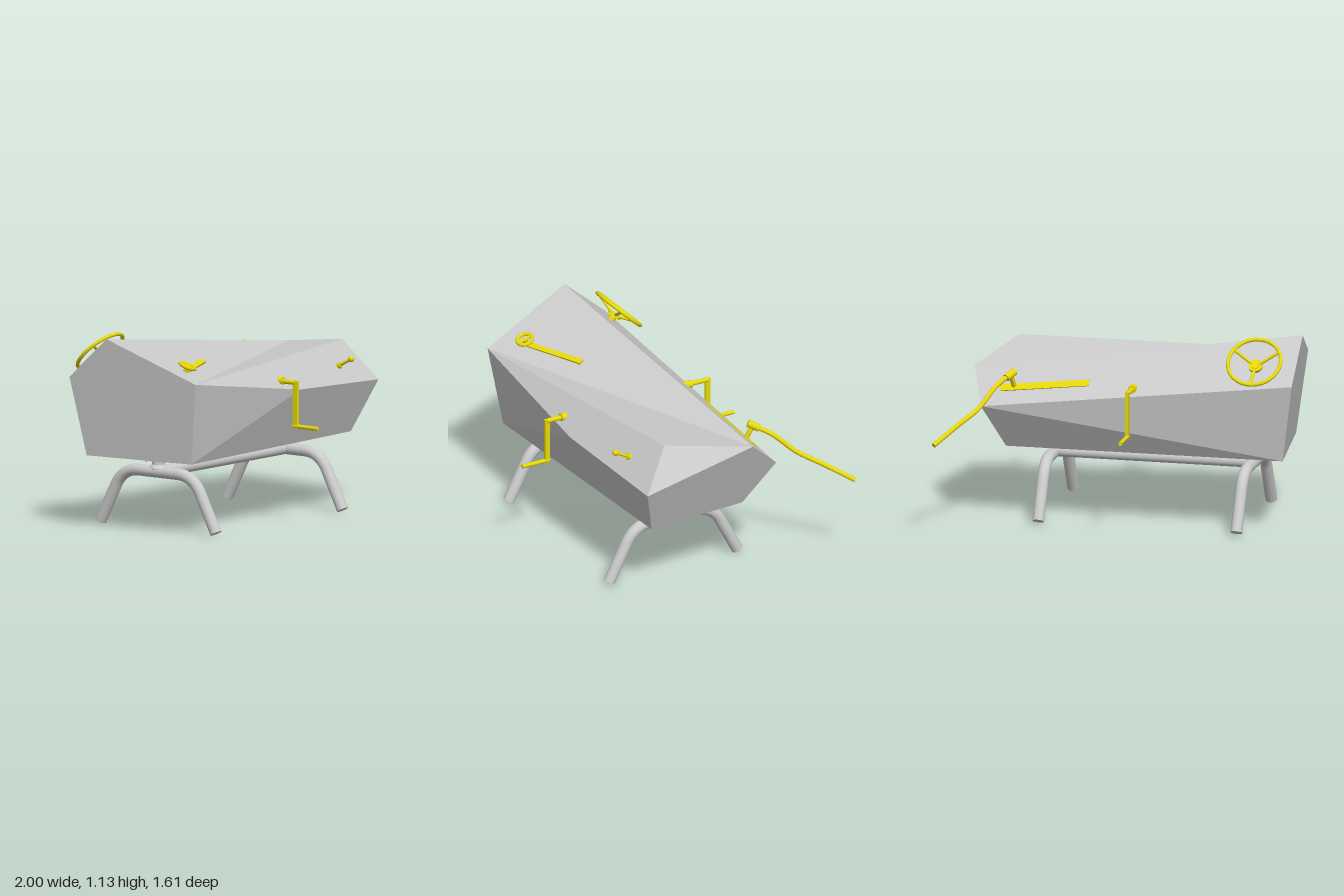
import * as THREE from 'three';

const grey = new THREE.MeshStandardMaterial({ color: 0xcccccc });
const greyFlat = new THREE.MeshStandardMaterial({ color: 0xcccccc, flatShading: true });
const yellow = new THREE.MeshStandardMaterial({ color: 0xe6d80a });
const V = (x, y, z) => new THREE.Vector3(x, y, z);
const UP = V(0, 1, 0);

function add(parent, name, geometry, material, pos) {
  const mesh = new THREE.Mesh(geometry, material);
  mesh.name = name;
  if (pos) mesh.position.copy(pos);
  parent.add(mesh);
  return mesh;
}

function addGroup(parent, name) {
  const g = new THREE.Group();
  g.name = name;
  parent.add(g);
  return g;
}

// Round bar between two points
function rod(parent, name, a, b, r, material = yellow) {
  const d = b.clone().sub(a);
  const mesh = add(parent, name, new THREE.CylinderGeometry(r, r, d.length(), 20), material,
    a.clone().add(b).multiplyScalar(0.5));
  mesh.quaternion.setFromUnitVectors(UP, d.normalize());
  return mesh;
}

// Flat bar between two points, lying on a face with the given normal
function strip(parent, name, a, b, width, thick, normal) {
  const along = b.clone().sub(a);
  const length = along.length();
  along.normalize();
  const side = along.clone().cross(normal).normalize();
  const up = side.clone().cross(along);
  const mesh = add(parent, name, new THREE.BoxGeometry(length, thick, width), yellow,
    a.clone().add(b).multiplyScalar(0.5));
  mesh.quaternion.setFromRotationMatrix(new THREE.Matrix4().makeBasis(along, up, side));
}

// Faceted body from corner points; each face is fanned and turned outward
function bodyGeometry() {
  const p = {
    ridgeR: V(-1, 1.13, -0.05), ridgeL: V(0.895, 0.885, -0.22),
    frontR: V(-0.893, 0.905, 0.517), topL: V(0.755, 0.957, 0.285),
    frontL: V(0.87, 0.725, 0.46), frontMid: V(0.075, 0.765, 0.52),
    backR: V(-1, 0.888, -0.32), backL: V(0.81, 0.695, -0.42),
    footFR: V(-0.84, 0.43, 0.445), footFL: V(0.74, 0.43, 0.36),
    footBR: V(-0.93, 0.43, -0.25), footBL: V(0.7, 0.43, -0.26),
  };
  const faces = [
    'ridgeR frontR ridgeL', 'frontR topL ridgeL',
    'frontR frontMid topL', 'frontMid frontL topL',
    'frontR footFR frontMid', 'frontMid footFR footFL frontL',
    'topL frontL ridgeL', 'ridgeL frontL footFL footBL backL',
    'ridgeR ridgeL backL backR',
    'backR backL footBR', 'footBR backL footBL',
    'ridgeR backR footBR footFR frontR',
    'footFR footBR footBL footFL',
  ];
  const centre = V(-0.1, 0.7, 0.02);
  const points = [];
  for (const face of faces) {
    const c = face.split(' ').map((k) => p[k]);
    for (let i = 1; i < c.length - 1; i++) {
      const t = [c[0], c[i], c[i + 1]];
      const n = t[1].clone().sub(t[0]).cross(t[2].clone().sub(t[0]));
      if (n.dot(t[0].clone().sub(centre)) < 0) t.reverse();
      points.push(...t);
    }
  }
  const g = new THREE.BufferGeometry().setFromPoints(points);
  g.computeVertexNormals();
  return g;
}

// Bent tube leg pair with its bolted mount, at one x position
function legFrame(parent, x) {
  const g = addGroup(parent, 'legFrame');
  g.position.set(x, 0, 0.077);
  const path = new THREE.CurvePath();
  const foot = (s) => V(0, 0.017, 0.421 * s);
  const knee = (s) => V(0, 0.235, 0.308 * s);
  const corner = (s) => V(0, 0.335, 0.257 * s);
  const shoulder = (s) => V(0, 0.335, 0.14 * s);
  path.add(new THREE.LineCurve3(foot(1), knee(1)));
  path.add(new THREE.QuadraticBezierCurve3(knee(1), corner(1), shoulder(1)));
  path.add(new THREE.LineCurve3(shoulder(1), shoulder(-1)));
  path.add(new THREE.QuadraticBezierCurve3(shoulder(-1), corner(-1), knee(-1)));
  path.add(new THREE.LineCurve3(knee(-1), foot(-1)));
  add(g, 'legTube', new THREE.TubeGeometry(path, 80, 0.034, 24), grey);
  for (const s of [1, -1]) {
    const d = foot(s).sub(knee(s)).normalize();
    const cap = add(g, 'footCap', new THREE.CircleGeometry(0.034, 24), grey, foot(s));
    cap.quaternion.setFromUnitVectors(V(0, 0, 1), d);
  }
  // Mount: collar, post, two plates and bolts
  add(g, 'mountCollar', new THREE.CylinderGeometry(0.04, 0.055, 0.02, 24), grey, V(0, 0.37, 0));
  add(g, 'mountPost', new THREE.CylinderGeometry(0.037, 0.037, 0.08, 24), grey, V(0, 0.39, 0));
  for (const y of [0.403, 0.422])
    add(g, 'mountPlate', new THREE.BoxGeometry(0.09, 0.008, 0.16), greyFlat, V(0, y, 0));
  for (const sx of [1, -1]) for (const sz of [1, -1])
    rod(g, 'mountBolt', V(0.032 * sx, 0.39, 0.062 * sz), V(0.032 * sx, 0.432, 0.062 * sz), 0.009, grey);
}

// Hand crank on one side (dir +1 front, -1 back)
function crank(parent, name, hubZ, armZ, endZ, dir) {
  const g = addGroup(parent, name);
  const x = -0.065;
  rod(g, 'crankHub', V(x, 0.828, hubZ - 0.05 * dir), V(x, 0.828, hubZ + 0.015 * dir), 0.023);
  rod(g, 'crankAxle', V(x, 0.828, hubZ), V(x, 0.828, armZ), 0.014);
  add(g, 'crankArm', new THREE.BoxGeometry(0.017, 0.275, 0.032), yellow, V(x, 0.7, armZ));
  rod(g, 'crankHandle', V(x, 0.575, armZ - 0.016 * dir), V(x, 0.575, endZ), 0.012);
}

export function createModel() {
  const model = new THREE.Group();
  model.name = 'crankMachine';
  add(model, 'body', bodyGeometry(), greyFlat);

  // Stand
  const stand = addGroup(model, 'stand');
  for (const x of [-0.68, 0.49]) legFrame(stand, x);
  rod(stand, 'crossBar', V(-0.68, 0.335, 0.077), V(0.49, 0.335, 0.077), 0.034, grey);

  crank(model, 'frontCrank', 0.49, 0.594, 0.757, 1);
  crank(model, 'backCrank', -0.34, -0.463, -0.635, -1);

  // Steering wheel, local y along its axis
  const wheel = addGroup(model, 'steeringWheel');
  wheel.position.set(-0.77, 1.013, -0.278);
  wheel.quaternion.setFromUnitVectors(UP, V(0, 0.719, -0.695).normalize());
  add(wheel, 'wheelRim', new THREE.TorusGeometry(0.154, 0.011, 12, 48), yellow).rotation.x = Math.PI / 2;
  for (let i = 0; i < 3; i++) {
    const a = -Math.PI / 2 + (i * Math.PI * 2) / 3;
    const at = (r, y) => V(Math.cos(a) * r, y, Math.sin(a) * r);
    rod(wheel, 'wheelSpoke', at(0.02, -0.04), at(0.154, 0), 0.009);
  }
  rod(wheel, 'wheelHub', V(0, -0.052, 0), V(0, -0.035, 0), 0.04);
  rod(wheel, 'wheelPost', V(0, -0.12, 0), V(0, -0.03, 0), 0.022);

  // Small ring knob with its slot on the top face
  const topNormal = V(0.151, 0.928, 0.341).normalize();
  const knob = addGroup(model, 'ringKnob');
  knob.position.set(-0.755, 0.983, 0.35);
  knob.quaternion.setFromUnitVectors(UP, topNormal);
  add(knob, 'knobRing', new THREE.TorusGeometry(0.044, 0.011, 12, 32), yellow).rotation.x = Math.PI / 2;
  rod(knob, 'knobBar', V(0, 0, -0.044), V(0, 0, 0.044), 0.008);
  rod(knob, 'knobPost', V(0, -0.06, 0), V(0, 0, 0), 0.014);
  strip(model, 'topSlot', V(-0.74, 0.948, 0.33), V(-0.395, 0.953, 0.178), 0.034, 0.016, topNormal);

  // Long lever with its slot on the back slope
  strip(model, 'backSlot', V(0.2, 0.839, -0.3), V(0.715, 0.788, -0.332), 0.042, 0.008, V(0.03, 0.718, -0.695));
  const lever = addGroup(model, 'longLever');
  rod(lever, 'leverPost', V(0.635, 0.79, -0.315), V(0.648, 0.87, -0.355), 0.014);
  rod(lever, 'leverHub', V(0.632, 0.89, -0.335), V(0.668, 0.862, -0.388), 0.022);
  const bend = new THREE.CatmullRomCurve3([
    V(0.645, 0.882, -0.35), V(0.715, 0.822, -0.455), V(0.785, 0.72, -0.565),
    V(0.88, 0.642, -0.698), V(0.985, 0.553, -0.843)]);
  add(lever, 'leverBar', new THREE.TubeGeometry(bend, 40, 0.014, 14), yellow);
  const end = add(lever, 'leverCap', new THREE.CircleGeometry(0.014, 14), yellow, bend.getPoint(1));
  end.quaternion.setFromUnitVectors(V(0, 0, 1), bend.getTangent(1));

  // Toggle switch on the front
  const toggle = addGroup(model, 'toggleSwitch');
  rod(toggle, 'toggleBase', V(0.567, 0.826, 0.395), V(0.567, 0.841, 0.425), 0.018);
  rod(toggle, 'toggleStem', V(0.567, 0.835, 0.41), V(0.567, 0.882, 0.5), 0.009);
  add(toggle, 'toggleBall', new THREE.SphereGeometry(0.018, 20, 14), yellow, V(0.567, 0.882, 0.5));

  return model;
}
